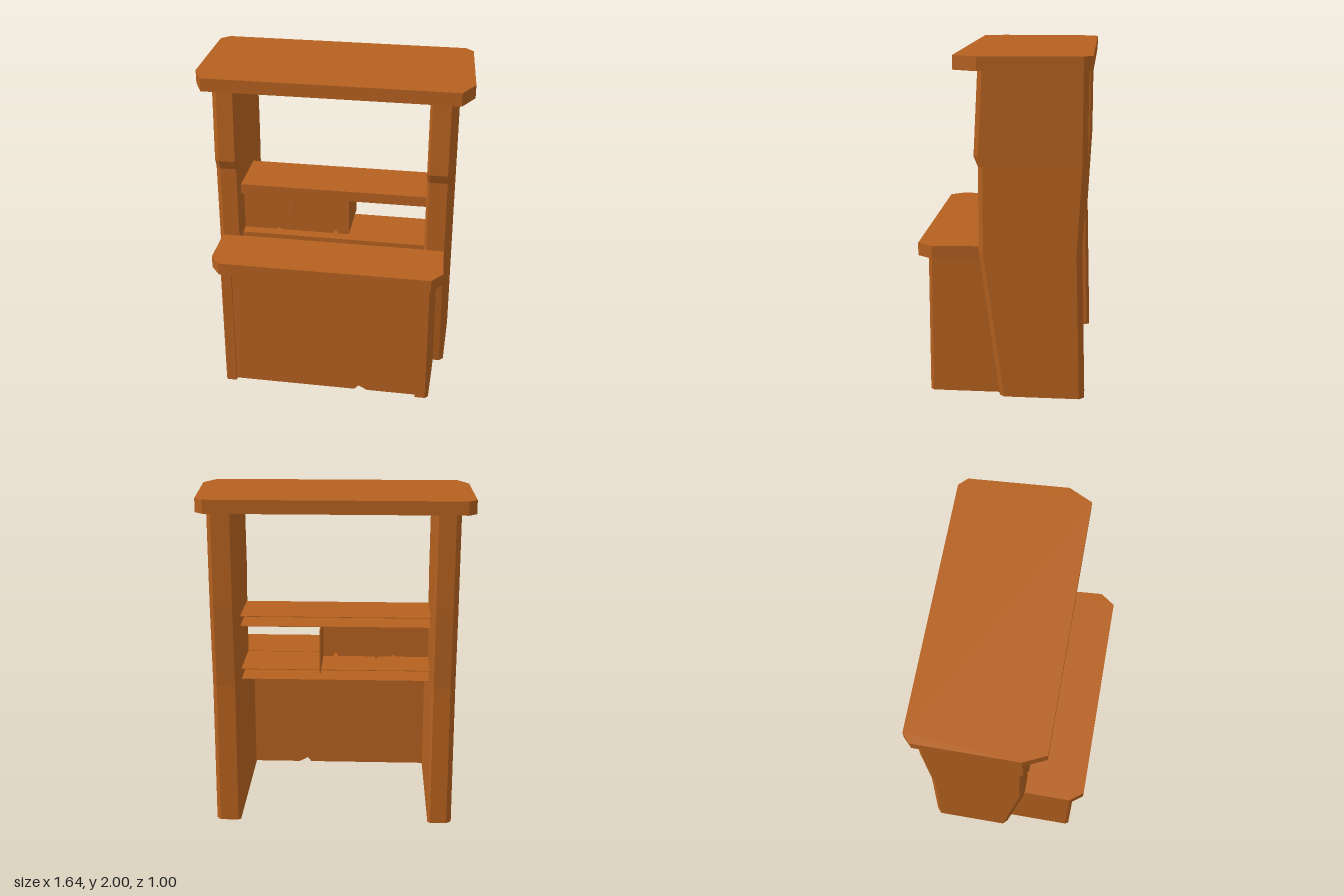
import * as THREE from 'three';

const wood = new THREE.MeshStandardMaterial({ color: 0xb5611f, flatShading: true, side: THREE.DoubleSide });

export function createModel() {
  const model = new THREE.Group();
  const add = (name, geometry) => {
    const mesh = new THREE.Mesh(geometry, wood);
    mesh.name = name;
    model.add(mesh);
    return mesh;
  };

  // Horizontal slab: outline of [x, z] points raised from y0 to y1
  const slab = (name, outline, y0, y1) => {
    const shape = new THREE.Shape(outline.map(([x, z]) => new THREE.Vector2(x, -z)));
    const geo = new THREE.ExtrudeGeometry(shape, { depth: y1 - y0, bevelEnabled: false });
    return add(name, geo.rotateX(-Math.PI / 2).translate(0, y0, 0));
  };

  // Upright board: outline of [x, y] points, thick from z0 to z1
  const board = (name, outline, z0, z1) => {
    const shape = new THREE.Shape(outline.map(([x, y]) => new THREE.Vector2(x, y)));
    const geo = new THREE.ExtrudeGeometry(shape, { depth: z1 - z0, bevelEnabled: false });
    return add(name, geo.translate(0, 0, z0));
  };

  const box = (name, x0, x1, y0, y1, z0, z1) => add(name,
    new THREE.BoxGeometry(x1 - x0, y1 - y0, z1 - z0)
      .translate((x0 + x1) / 2, (y0 + y1) / 2, (z0 + z1) / 2));

  // Roof and counter boards with clipped corners
  slab('roof', [[-0.82, -0.45], [-0.77, -0.5], [0.73, -0.5], [0.78, -0.45],
    [0.82, 0.13], [0.75, 0.27], [-0.76, 0.27], [-0.82, 0.14]], 1.92, 2);
  slab('counter', [[-0.71, 0.135], [0.685, 0.135], [0.705, 0.41], [0.64, 0.5],
    [-0.65, 0.5], [-0.71, 0.42]], 0.83, 0.905);

  // Crooked side walls: chamfered section lofted through [y, back z, front z]
  const levels = [[0, -0.475, 0.02], [0.87, -0.45, 0.14], [1.37, -0.475, 0.14],
    [1.43, -0.475, 0.165], [1.92, -0.475, 0.14]];
  const sideWall = (name, [xa, xb, xc, xd], ca, cd) => {
    const pos = [], index = [], n = 8;
    for (const [y, b, f] of levels) {
      for (const [x, z] of [[xa, f - ca], [xb, f], [xc, f], [xd, f - cd],
        [xd, b + cd], [xc, b], [xb, b], [xa, b + ca]]) pos.push(x, y, z);
    }
    const top = (levels.length - 1) * n;
    for (let r = 0; r < top; r += n) {
      for (let i = 0; i < n; i++) {
        const a = r + i, c = r + (i + 1) % n;
        index.push(a, c, c + n, a, c + n, a + n);
      }
    }
    for (let i = 1; i < n - 1; i++) {
      index.push(0, i + 1, i, top, top + i, top + i + 1);
    }
    const geo = new THREE.BufferGeometry();
    geo.setAttribute('position', new THREE.Float32BufferAttribute(pos, 3));
    geo.setIndex(index);
    geo.computeVertexNormals();
    add(name, geo);
  };
  sideWall('rightSideWall', [-0.735, -0.705, -0.605, -0.59], 0.015, 0.028);
  sideWall('leftSideWall', [0.565, 0.58, 0.69, 0.715], 0.028, 0.015);
  // Swap of chamfer depths keeps the deeper cut on each outer edge
  model.children.slice(-2).forEach((wall) => {
    const p = wall.geometry.attributes.position;
    for (let i = 0; i < p.count; i++) {
      const k = i % 8, [, b, f] = levels[Math.floor(i / 8)];
      const outer = Math.abs(p.getX(i)) > 0.7;
      if (k === 0 || k === 3) p.setZ(i, f - (outer ? 0.028 : 0.015));
      if (k === 4 || k === 7) p.setZ(i, b + (outer ? 0.028 : 0.015));
    }
    wall.geometry.computeVertexNormals();
  });

  // Base sides and the chipped front panel
  slab('rightBaseSide', [[-0.66, -0.005], [-0.59, -0.005], [-0.59, 0.44], [-0.65, 0.44], [-0.66, 0.42]], 0, 0.83);
  slab('leftBaseSide', [[0.565, -0.005], [0.65, -0.005], [0.65, 0.42], [0.63, 0.44], [0.565, 0.44]], 0, 0.83);
  board('frontPanel', [[-0.59, 0.01], [0.18, 0.01], [0.205, 0.04], [0.26, 0.01], [0.565, 0.01],
    [0.565, 0.83], [-0.29, 0.83], [-0.33, 0.79], [-0.365, 0.83], [-0.59, 0.83]], 0.405, 0.428);

  // Two hollow shelves: thin top and bottom sheets joined by a front strip
  const t = 0.004;
  for (const [name, y0, y1] of [['upperShelf', 1.185, 1.25], ['lowerShelf', 0.845, 0.914]]) {
    box(name + 'Top', -0.59, 0.565, y1 - t, y1, -0.25, 0.1);
    box(name + 'Bottom', -0.59, 0.565, y0, y0 + t, -0.25, 0.1);
    box(name + 'Front', -0.59, 0.565, y0, y1, 0.1 - t, 0.1);
  }

  // Cupboard fronts with a small nick in the lower edge, and their end panel
  const y0 = 0.912, y1 = 1.187;
  for (const [name, x0, x1, nick, h] of [
    ['rightCupboardFront', -0.59, -0.27, -0.37, 0.015],
    ['leftCupboardFront', -0.255, 0.08, -0.005, 0.03]]) {
    board(name, [[x0, y0], [nick - 0.02, y0], [nick, y0 + h], [nick + 0.02, y0],
      [x1, y0], [x1, y1], [x0, y1]], 0.02, 0.03);
  }
  box('cupboardDivider', -0.272, -0.255, y0, y1, -0.02, 0.022);
  box('cupboardEndPanel', 0.074, 0.08, y0, y1, -0.32, 0.03);

  return model;
}
